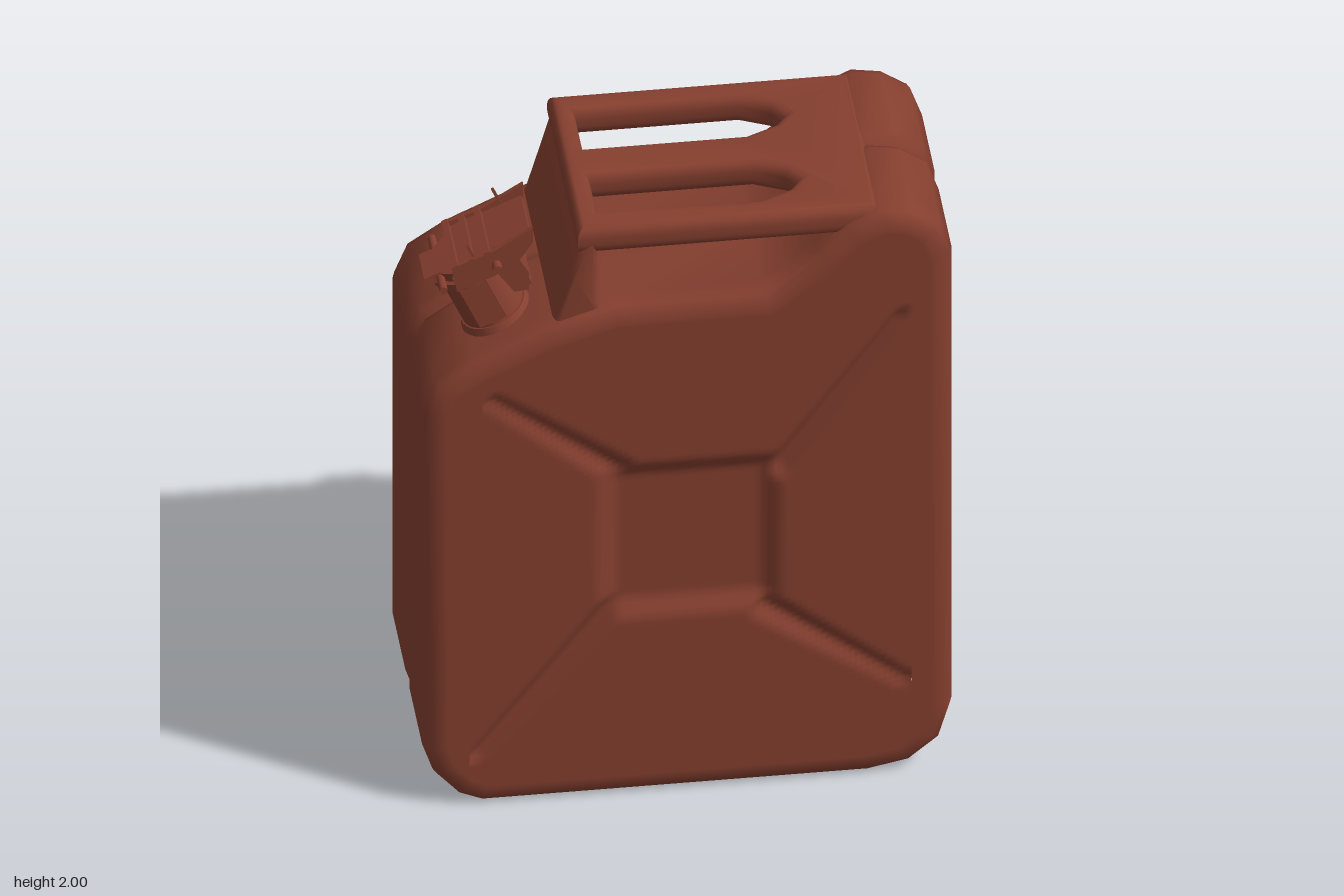
import * as THREE from 'three';
import { toCreasedNormals } from 'three/addons/utils/BufferGeometryUtils.js';

const paint = new THREE.MeshStandardMaterial({ color: 0x853f2f });
paint.name = 'red brown paint';

// Side outline of the can, counter-clockwise
const OUTLINE = [
  [-0.6, 0], [0.52, 0], [0.64, 0.025], [0.73, 0.1], [0.765, 0.22], [0.765, 1.83], [0.73, 1.93],
  [0.65, 1.985], [0.56, 2], [0.46, 1.95], [0.38, 1.86], [0.22, 1.735], [-0.22, 1.735],
  [-0.42, 1.67], [-0.62, 1.575], [-0.73, 1.5], [-0.77, 1.4], [-0.77, 0.2], [-0.74, 0.11], [-0.67, 0.03],
].map(([x, y]) => new THREE.Vector2(x, y));

const vec2s = (pts) => pts.map(([x, y]) => new THREE.Vector2(x, y));

function add(parent, name, geometry) {
  const mesh = new THREE.Mesh(geometry, paint);
  mesh.name = name;
  parent.add(mesh);
  return mesh;
}

// Move every outline corner inwards; the seam fades out under the handles
function inset(d, seam = false) {
  const n = OUTLINE.length;
  const inward = (a, b) => new THREE.Vector2(a.y - b.y, b.x - a.x).normalize();
  return OUTLINE.map((p, i) => {
    const n1 = inward(OUTLINE[(i + n - 1) % n], p);
    const n2 = inward(p, OUTLINE[(i + 1) % n]);
    const k = seam && p.y > 1.6 && p.x < 0.5 ? 0 : d / (1 + n1.dot(n2));
    return p.clone().addScaledVector(n1.add(n2), k);
  });
}

function indexed(positions, indices) {
  const g = new THREE.BufferGeometry();
  g.setAttribute('position', new THREE.Float32BufferAttribute(positions, 3));
  g.setIndex(indices);
  g.computeVertexNormals();
  return g;
}

// Rounded shell with the seam groove at z = 0
function shellGeometry() {
  const half = [[0.37, 0.07], [0.37, 0.055], [0.363, 0.028], [0.347, 0.008], [0.32, 0], [0.28, 0],
    [0.045, 0], [0.022, 0.01], [0.008, 0.036]];
  const rings = [...half.map(([z, d]) => [-z, d]), [0, 0.042], ...half.slice().reverse()];
  const n = OUTLINE.length, pos = [], idx = [];
  rings.forEach(([z, d], j) => {
    inset(d, Math.abs(z) < 0.1).forEach((p, i) => {
      pos.push(p.x, p.y, z);
      if (j === rings.length - 1) return;
      const a = j * n + i, b = j * n + (i + 1) % n;
      idx.push(a, b, b + n, a, b + n, a + n);
    });
  });
  return indexed(pos, idx);
}

// Pressed relief: sunken centre panel and four grooves running to the corners
const GROOVES = [
  [-0.2, 1.15, -0.57, 1.435], [0.26, 1.12, 0.61, 1.63], [0.22, 0.63, 0.62, 0.335], [-0.22, 0.68, -0.62, 0.18],
];
function relief(x, y) {
  const d = Math.max(Math.abs(x) - 0.2, Math.abs(y - 0.9) - 0.21);
  let depth = 0.032 * (1 - THREE.MathUtils.smoothstep(d, 0, 0.075));
  for (const [x0, y0, x1, y1] of GROOVES) {
    const dx = x1 - x0, dy = y1 - y0;
    const t = THREE.MathUtils.clamp(((x - x0) * dx + (y - y0) * dy) / (dx * dx + dy * dy), 0, 1);
    const r = Math.hypot(x - x0 - t * dx, y - y0 - t * dy);
    depth = Math.max(depth, (0.03 - 0.014 * t) * (1 - THREE.MathUtils.smoothstep(r, 0, 0.052 - 0.022 * t)));
  }
  return depth;
}

const PANEL = vec2s([[-0.64, 0.14], [0.64, 0.14], [0.66, 1.68], [-0.6, 1.47]]);

function panelGeometry() {
  const nu = 76, nv = 88, pos = [], idx = [];
  for (let j = 0; j <= nv; j++) for (let i = 0; i <= nu; i++) {
    const low = PANEL[0].clone().lerp(PANEL[1], i / nu);
    const p = low.lerp(PANEL[3].clone().lerp(PANEL[2], i / nu), j / nv);
    pos.push(p.x, p.y, 0.37 - relief(p.x, p.y));
    if (i === nu || j === nv) continue;
    const a = j * (nu + 1) + i, c = a + nu + 1;
    idx.push(a, a + 1, c + 1, a, c + 1, c);
  }
  return indexed(pos, idx);
}

function borderGeometry() {
  const shape = new THREE.Shape(inset(0.07));
  shape.holes.push(new THREE.Path(PANEL));
  return new THREE.ShapeGeometry(shape).translate(0, 0, 0.37);
}

function mirrorZ(geometry) {
  const g = geometry.clone().scale(1, 1, -1);
  g.setIndex(Array.from(geometry.index.array).reverse());
  g.computeVertexNormals();
  return g;
}

function extrude(shape, depth, bevel, thick = bevel) {
  const g = new THREE.ExtrudeGeometry(shape, {
    depth, bevelEnabled: bevel > 0, bevelSize: bevel, bevelOffset: -bevel, bevelThickness: thick, bevelSegments: 4,
  });
  return toCreasedNormals(g, 0.7);
}

function buildHandles(parent) {
  const handles = new THREE.Group();
  handles.name = 'handles';
  parent.add(handles);
  // Three bars formed by two slots in a rounded plate
  const plate = new THREE.Shape(vec2s([[-0.32, -0.335], [0.56, -0.335], [0.56, 0.335], [-0.32, 0.335]]));
  const slot = [[-0.25, 0.073], [0.22, 0.073], [0.31, 0.115], [0.34, 0.155], [0.31, 0.2], [0.22, 0.242], [-0.25, 0.242]];
  for (const s of [1, -1]) plate.holes.push(new THREE.Path(vec2s(slot.map(([x, z]) => [x, z * s]))));
  add(handles, 'handleBars', extrude(plate, 0.025, 0.03, 0.035).rotateX(Math.PI / 2).translate(0, 1.965, 0));
  // Upright that carries the left ends of the bars
  const post = new THREE.Shape(vec2s([[-0.43, 1.6], [-0.2, 1.6], [-0.26, 1.74], [-0.26, 1.965],
    [-0.285, 1.965], [-0.32, 1.92], [-0.345, 1.83], [-0.385, 1.69]]));
  add(handles, 'handlePost', extrude(post, 0.61, 0.018, 0.03).translate(0, 0, -0.305));
}

function buildSpout(parent) {
  const spout = new THREE.Group();
  spout.name = 'spout';
  spout.position.set(-0.535, 1.61, 0.165);
  spout.rotation.z = 0.42;
  parent.add(spout);
  const disc = (name, r, y0, y1, r2 = r) =>
    add(spout, name, new THREE.CylinderGeometry(r2, r, y1 - y0, 24).translate(0, (y0 + y1) / 2, 0));
  const box = (name, x0, x1, y0, y1, z0, z1) =>
    add(spout, name, new THREE.BoxGeometry(x1 - x0, y1 - y0, z1 - z0)
      .translate((x0 + x1) / 2, (y0 + y1) / 2, (z0 + z1) / 2));
  const pin = (name, x, y, r, length) =>
    add(spout, name, new THREE.CylinderGeometry(r, r, length, 10).rotateX(Math.PI / 2).translate(x, y, 0));

  disc('spoutCollar', 0.125, -0.04, 0.025, 0.1);
  disc('spoutNeck', 0.095, 0, 0.2);
  disc('spoutRim', 0.115, 0.195, 0.22);
  disc('spoutLid', 0.1, 0.22, 0.25);
  box('lidTongue', -0.125, -0.06, 0.22, 0.25, -0.06, 0.06);

  // Clamp cheeks with the curved lever end
  const cheek = new THREE.Shape(vec2s([[-0.05, 0.2], [-0.03, 0.285], [0.1, 0.28], [0.235, 0.3], [0.215, 0.255],
    [0.155, 0.215], [0.16, 0.16], [0.135, 0.106], [0.095, 0.12], [0.08, 0.2]]));
  for (const s of [-1, 1]) {
    add(spout, 'clampCheek', extrude(cheek, 0.014, 0).translate(0, 0, s * 0.108 - 0.007));
    box('neckLatch', -0.045, 0.04, 0.045, 0.24, s * 0.1 - 0.008, s * 0.1 + 0.008);
  }
  box('clampTop', -0.03, 0.1, 0.25, 0.268, -0.11, 0.11);
  box('leverPlate', 0.1, 0.215, 0.255, 0.275, -0.09, 0.09);
  box('leverGrip', 0.115, 0.15, 0.11, 0.23, -0.1, 0.1);
  for (const x of [-0.02, 0.03, 0.08]) box('clampRib', x - 0.009, x + 0.009, 0.265, 0.287, -0.115, 0.115);
  pin('hingePin', 0.09, 0.235, 0.014, 0.29);
  pin('latchPin', -0.08, 0.235, 0.012, 0.26);
  for (const [x, z] of [[0.04, 0.1], [0.15, -0.1]]) {
    const wire = box('lockWire', x - 0.004, x + 0.004, 0.25, 0.33, z - 0.004, z + 0.004);
    wire.name = 'lockWire';
  }
}

export function createModel() {
  const model = new THREE.Group();
  model.name = 'fuelCan';

  const body = new THREE.Group();
  body.name = 'body';
  model.add(body);
  add(body, 'shell', shellGeometry());
  const panel = panelGeometry(), border = borderGeometry();
  add(body, 'frontPanel', panel);
  add(body, 'frontBorder', border);
  add(body, 'backPanel', mirrorZ(panel));
  add(body, 'backBorder', mirrorZ(border));

  buildHandles(model);
  buildSpout(model);
  return model;
}
